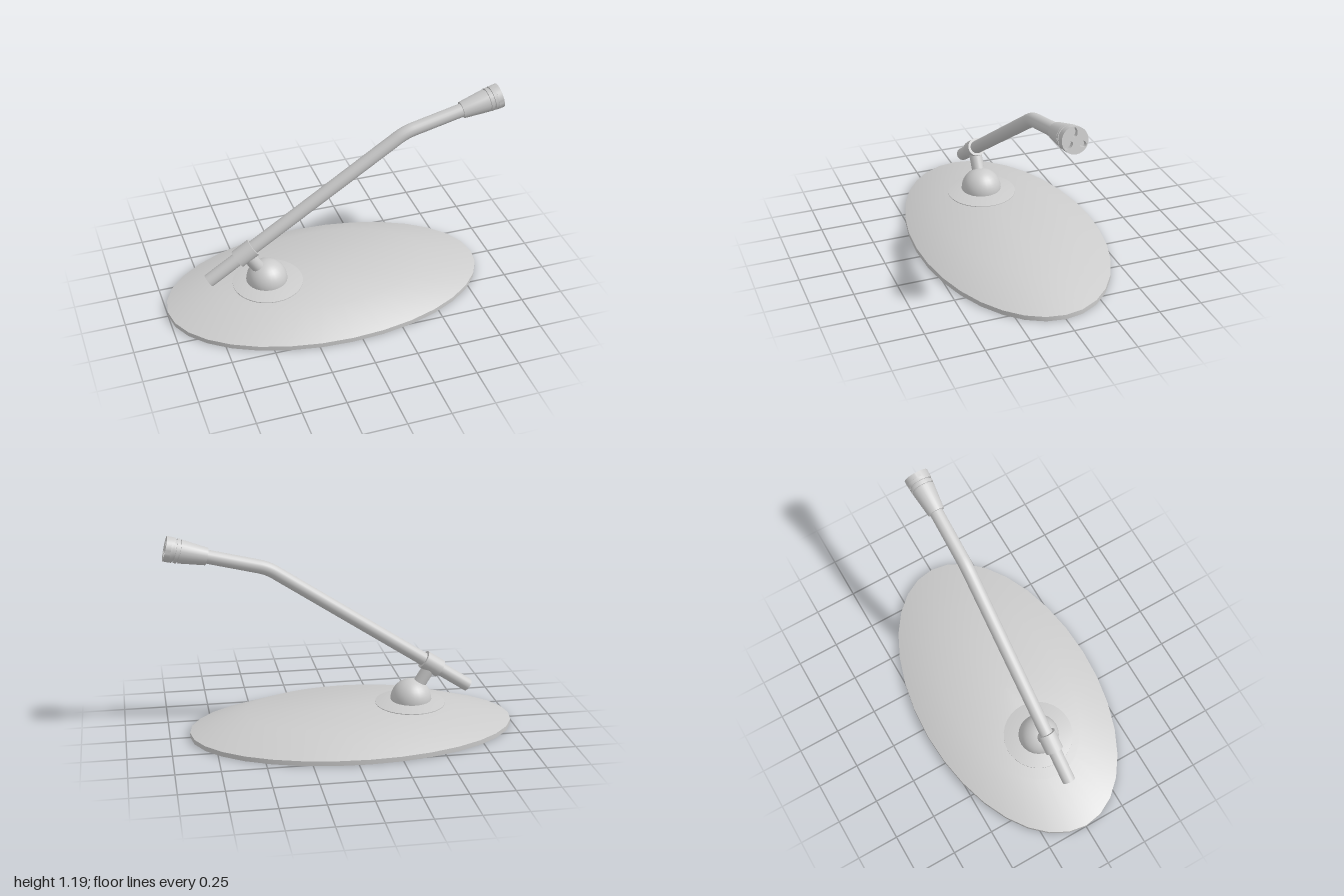
import * as THREE from 'three';
import { toCreasedNormals } from 'three/addons/utils/BufferGeometryUtils.js';

const material = new THREE.MeshStandardMaterial({ color: 0xcccccc });
const V = (x, y) => new THREE.Vector3(x, y, 0);
const UP = new THREE.Vector3(0, 1, 0);

function mesh(name, geometry, parent) {
  const m = new THREE.Mesh(geometry, material);
  m.name = name;
  parent.add(m);
  return m;
}

// Turned part from [radius, height] pairs, listed from the bottom up
function lathe(profile, segments, crease = 0.6) {
  const points = profile.map(([r, y]) => new THREE.Vector2(r, y));
  return toCreasedNormals(new THREE.LatheGeometry(points, segments), crease);
}

// Cylinder running between two points
function rod(name, a, b, radius, parent) {
  const dir = b.clone().sub(a);
  const m = mesh(name, new THREE.CylinderGeometry(radius, radius, dir.length(), 20), parent);
  m.position.copy(a).add(b).multiplyScalar(0.5);
  m.quaternion.setFromUnitVectors(UP, dir.normalize());
  return m;
}

export function createModel() {
  const model = new THREE.Group();
  model.name = 'deskMicrophone';

  // Oval base with a thin rim, sloping sides and a flat top
  const baseGeometry = lathe([[0, 0], [0.943, 0], [0.943, 0.028], [0.62, 0.125], [0, 0.127]], 32, 0.85);
  baseGeometry.scale(1, 1, 0.545 / 0.943);
  mesh('base', baseGeometry, model).position.x = -0.057;

  // Everything above the base sits slightly in front of its centre line
  const upper = new THREE.Group();
  upper.name = 'stand';
  upper.position.z = 0.018;
  model.add(upper);

  // Mounting plate and swivel dome
  const plate = lathe([[0.205, 0.12], [0.205, 0.13], [0.12, 0.148], [0, 0.148]], 32);
  mesh('mountingPlate', plate, upper).position.x = -0.405;
  const dome = new THREE.SphereGeometry(0.12, 24, 10, 0, Math.PI * 2, 0, Math.PI / 2);
  mesh('swivelDome', dome, upper).position.set(-0.41, 0.148, 0);

  // Bent arm: straight, short curve, straight
  const tail = V(-0.752, 0.212), knee = V(0.42, 0.981), tip = V(0.775, 1.067);
  const lower = knee.clone().sub(tail).normalize();
  const outer = tip.clone().sub(knee).normalize();
  const bendStart = knee.clone().addScaledVector(lower, -0.05);
  const bendEnd = knee.clone().addScaledVector(outer, 0.05);
  const path = new THREE.CurvePath();
  path.add(new THREE.LineCurve3(tail, bendStart));
  path.add(new THREE.QuadraticBezierCurve3(bendStart, knee, bendEnd));
  path.add(new THREE.LineCurve3(bendEnd, tip));
  mesh('arm', new THREE.TubeGeometry(path, 90, 0.039, 20), upper);
  const cap = mesh('armEnd', new THREE.CircleGeometry(0.039, 20), upper);
  cap.position.copy(tail);
  cap.quaternion.setFromUnitVectors(new THREE.Vector3(0, 0, 1), lower.clone().negate());

  // Clamp around the arm, and the neck joining it to the dome
  const clamp = tail.clone().addScaledVector(lower, 0.265);
  rod('clamp', clamp.clone().addScaledVector(lower, -0.057),
    clamp.clone().addScaledVector(lower, 0.057), 0.054, upper);
  rod('neck', V(-0.415, 0.17), clamp, 0.038, upper);

  // Microphone head, built along y and then turned to follow the arm
  const head = new THREE.Group();
  head.name = 'microphoneHead';
  head.position.set(0.757, 1.063, 0);
  head.rotation.z = Math.atan2(outer.y, outer.x) - Math.PI / 2;
  upper.add(head);

  // Tapered body with two grooves, ending at the floor of the sound holes
  mesh('headBody', lathe([
    [0, 0], [0.049, 0], [0.067, 0.152], [0.06, 0.152], [0.06, 0.16], [0.069, 0.16],
    [0.069, 0.176], [0.061, 0.176], [0.061, 0.186], [0.07, 0.186], [0.071, 0.206], [0, 0.206],
  ], 24), head);

  // End cap with three oval sound holes
  const disc = new THREE.Shape().absarc(0, 0, 0.071, 0, Math.PI * 2);
  for (let i = 0; i < 3; i++) {
    const a = Math.PI + (i * Math.PI * 2) / 3;
    disc.holes.push(new THREE.Path().absellipse(
      0.041 * Math.cos(a), 0.041 * Math.sin(a), 0.025, 0.016, 0, Math.PI * 2, true, a));
  }
  const capGeometry = new THREE.ExtrudeGeometry(disc, { depth: 0.03, bevelEnabled: false, curveSegments: 24 });
  capGeometry.rotateX(-Math.PI / 2);
  mesh('headCap', toCreasedNormals(capGeometry, 0.6), head).position.y = 0.205;

  return model;
}
